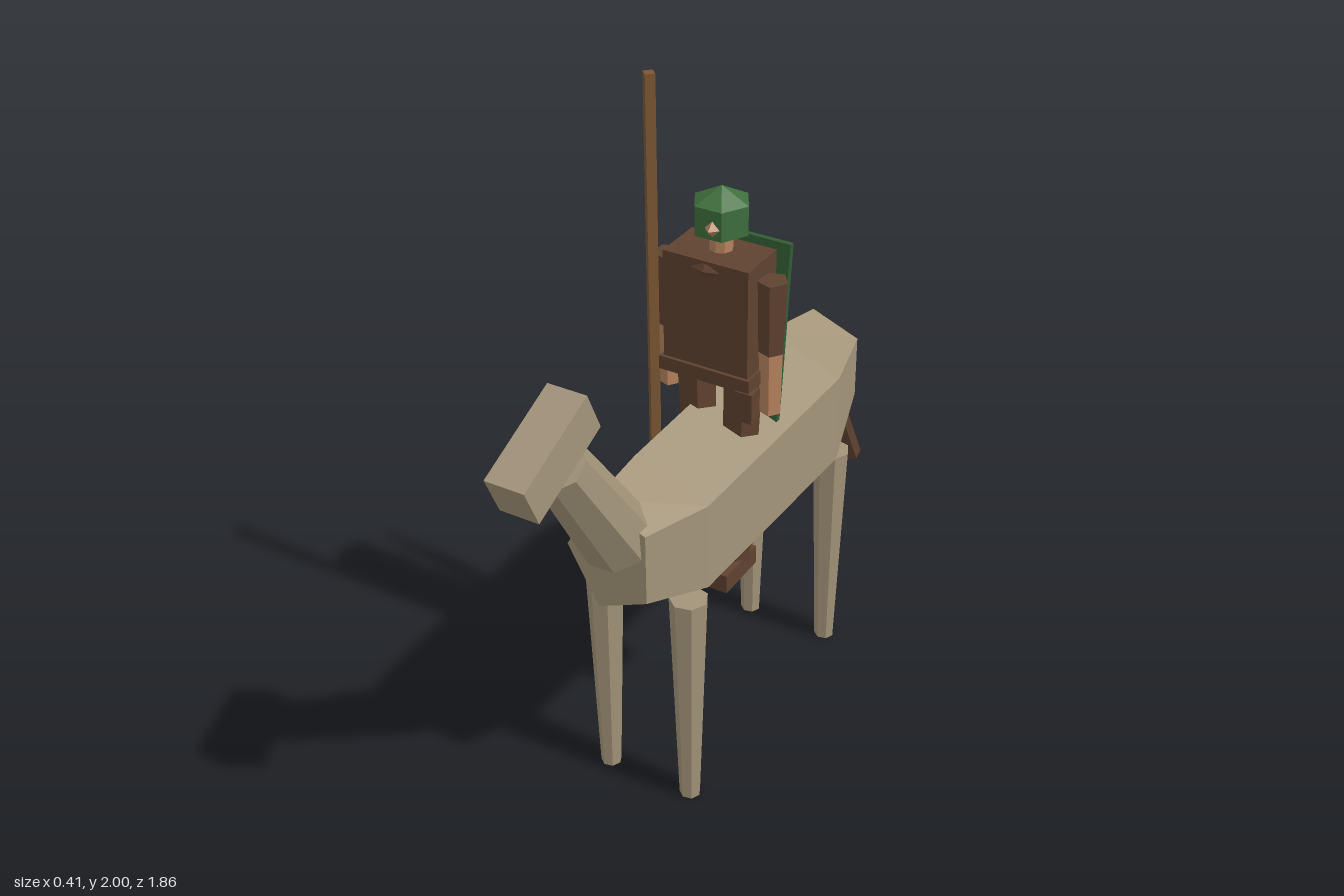
import * as THREE from 'three';

const mat = (name, color) => {
  const m = new THREE.MeshStandardMaterial({ color, flatShading: true });
  m.name = name;
  return m;
};

export function createModel() {
  const hide = mat('tan hide', 0xa39479);
  const leather = mat('brown leather', 0x5f4230);
  const skin = mat('skin', 0xb8835f);
  const green = mat('helmet green', 0x3f6f3d);
  const shieldGreen = mat('shield green', 0x325c33);
  const wood = mat('spear wood', 0x7b5733);

  const root = new THREE.Group();
  root.name = 'mountedRider';

  const add = (name, geo, m, x = 0, y = 0, z = 0) => {
    const mesh = new THREE.Mesh(geo, m);
    mesh.name = name;
    mesh.position.set(x, y, z);
    root.add(mesh);
    return mesh;
  };
  const box = (name, w, h, d, m, x, y, z) => add(name, new THREE.BoxGeometry(w, h, d), m, x, y, z);

  // tapered prism from point a (radius ra) to point b (radius rb); turn spins it about its own axis
  const limb = (name, a, b, ra, rb, sides, m, turn = Math.PI / 2) => {
    const A = new THREE.Vector3(...a), B = new THREE.Vector3(...b);
    const axis = A.clone().sub(B);
    const geo = new THREE.CylinderGeometry(ra, rb, axis.length(), sides);
    geo.rotateY(turn);
    const mesh = add(name, geo, m);
    mesh.position.copy(A).add(B).multiplyScalar(0.5);
    mesh.quaternion.setFromUnitVectors(new THREE.Vector3(0, 1, 0), axis.normalize());
    return mesh;
  };

  // mount: five-sided barrel lofted through rings of [z, centre y, x radius, y radius]
  const rings = [
    [0.51, 0.877, 0.132, 0.18],
    [0.29, 0.832, 0.2, 0.224],
    [-0.44, 0.83, 0.21, 0.236],
    [-0.68, 0.865, 0.133, 0.163],
  ];
  const point = (r, i) => {
    const t = Math.PI + (i * Math.PI * 2) / 5;
    return [r[2] * Math.cos(t), r[1] + r[3] * Math.sin(t), r[0]];
  };
  const pos = [];
  for (let i = 0; i < 5; i++) {
    for (let k = 0; k < 3; k++) {
      const a = point(rings[k], i), b = point(rings[k + 1], i);
      const c = point(rings[k + 1], i + 1), d = point(rings[k], i + 1);
      pos.push(...a, ...b, ...d, ...b, ...c, ...d);
    }
    const f = rings[0], r = rings[3];
    pos.push(0, f[1], f[0], ...point(f, i), ...point(f, i + 1));
    pos.push(0, r[1], r[0], ...point(r, i + 1), ...point(r, i));
  }
  const barrel = new THREE.BufferGeometry();
  barrel.setAttribute('position', new THREE.Float32BufferAttribute(pos, 3));
  barrel.computeVertexNormals();
  add('mountBody', barrel, hide);

  // mount neck, head, tail and legs
  limb('mountNeck', [0, 1.295, 0.722], [0, 0.925, 0.475], 0.075, 0.102, 8, hide, Math.PI / 8);
  box('mountHead', 0.112, 0.125, 0.292, hide, 0, 1.353, 0.773).rotation.x = 0.425;
  limb('tail', [0, 0.8, -0.685], [0, 0.395, -0.9], 0.033, 0.033, 6, leather, 0);
  for (const x of [-0.128, 0.137]) {
    for (const z of [0.35, -0.475]) {
      limb('mountLeg', [x, 0.695, z], [x, 0, z], 0.054, 0.03, 7, hide);
    }
  }

  // rider torso, collar, belt and pouch
  box('torso', 0.255, 0.355, 0.15, leather, 0, 1.338, -0.045);
  const collar = new THREE.TorusGeometry(0.07, 0.02, 6, 12);
  collar.rotateX(Math.PI / 2);
  add('collar', collar, leather, 0, 1.49, -0.048);
  box('belt', 0.275, 0.04, 0.166, leather, 0, 1.18, -0.043);
  box('pouch', 0.05, 0.09, 0.045, leather, 0.125, 1.118, 0.022);

  // rider head and helmet
  limb('riderNeck', [0, 1.56, -0.055], [0, 1.49, -0.055], 0.032, 0.032, 8, skin);
  add('helmet', new THREE.SphereGeometry(0.092, 6, 3).scale(1, 0.9, 1), green, 0, 1.613, -0.055);
  add('nose', new THREE.OctahedronGeometry(0.028), skin, 0.012, 1.603, 0.008);

  // rider arms, legs and boots
  for (const s of [-1, 1]) {
    const x = s * 0.157;
    limb('sleeve', [x, 1.468, -0.048], [x, 1.255, -0.048], 0.044, 0.034, 5, leather);
    limb('forearm', [x, 1.26, -0.048], [x, 1.07, -0.048], 0.034, 0.03, 5, skin);
    limb('riderLeg', [s * 0.072, 1.17, -0.048], [s * 0.055, 0.55, -0.048], 0.06, 0.045, 6, leather);
    box('boot', 0.07, 0.058, 0.17, leather, s * 0.055, 0.529, -0.02);
  }

  // shield leaning on the back, and upright spear
  box('shield', 0.265, 0.525, 0.018, shieldGreen, 0, 1.238, -0.168).rotation.x = -0.108;
  limb('spear', [-0.157, 2, 0.034], [-0.157, 0.75, 0.034], 0.019, 0.019, 4, wood);

  return root;
}
